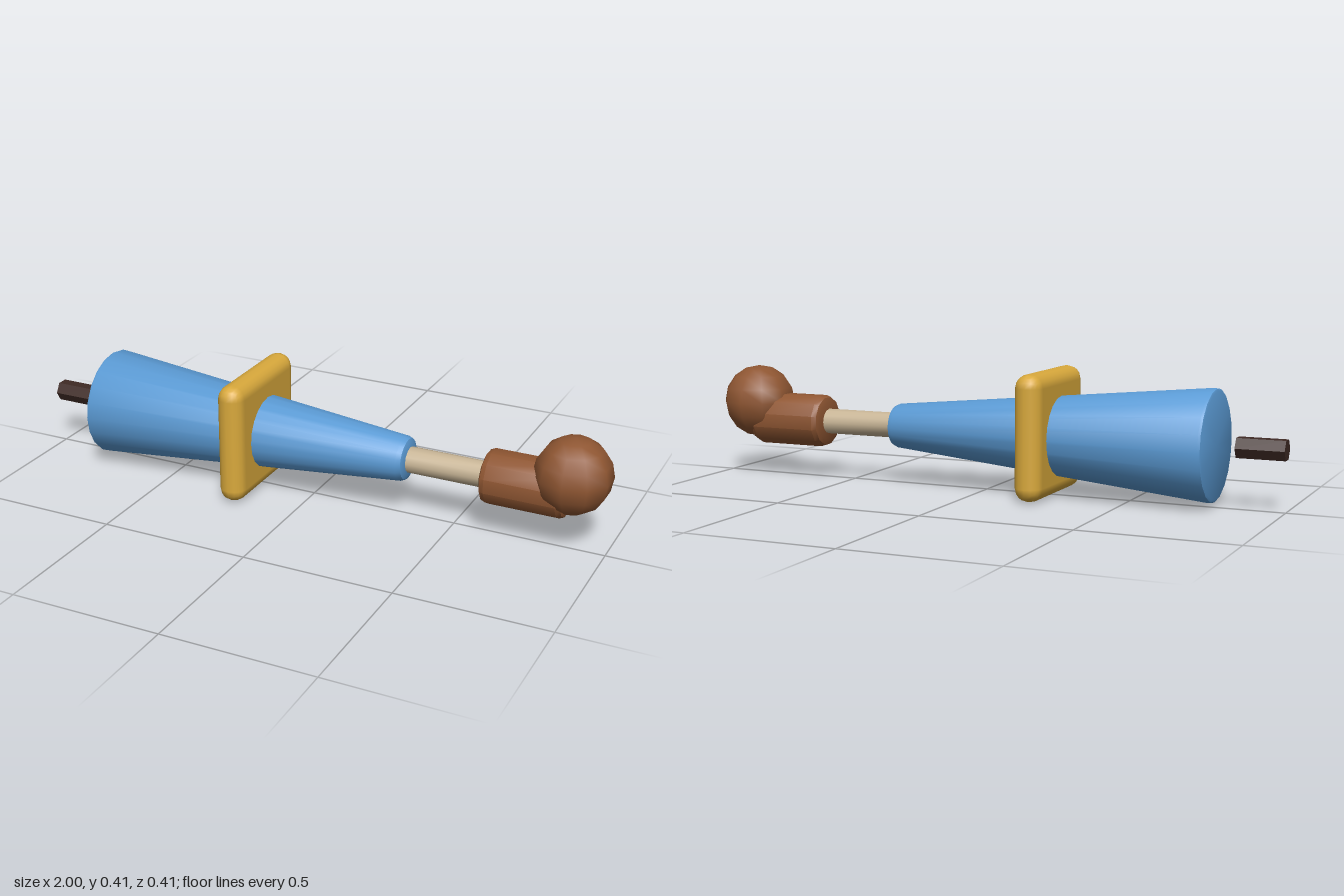
import * as THREE from 'three';
import { toCreasedNormals } from 'three/addons/utils/BufferGeometryUtils.js';
import { RoundedBoxGeometry } from 'three/addons/geometries/RoundedBoxGeometry.js';

const AXIS_Y = 0.194;

function material(name, color) {
  const m = new THREE.MeshStandardMaterial({ color });
  m.name = name;
  return m;
}

// Closed round bar along x from x0 (radius r0) to x1 (radius r1), with rounded rims
function bar(x0, x1, r0, r1, b0, b1, sides, turn = 0) {
  const pts = [new THREE.Vector2(0, x0)];
  const rim = (x, r, b, dir) => {
    if (b === 0) return [new THREE.Vector2(r, x)];
    return [0, 0.5, 1].map((t) => {
      const a = t * Math.PI / 2;
      return new THREE.Vector2(r - b + b * Math.sin(a), x + dir * b * (1 - Math.cos(a)));
    });
  };
  pts.push(...rim(x0, r0, b0, 1));
  pts.push(...rim(x1, r1, b1, -1).reverse());
  pts.push(new THREE.Vector2(0, x1));
  const g = new THREE.LatheGeometry(pts, sides);
  g.rotateY(turn);
  g.rotateZ(-Math.PI / 2);
  g.translate(0, AXIS_Y, 0);
  return toCreasedNormals(g, 0.6);
}

export function createModel() {
  const group = new THREE.Group();
  const blue = material('blue', 0x5b9bd5);
  const yellow = material('yellow', 0xd9a93c);
  const brown = material('brown', 0x8f5632);
  const tan = material('tan', 0xc8b596);
  const dark = material('dark brown', 0x3f2a25);

  const add = (name, geometry, mat) => {
    const mesh = new THREE.Mesh(geometry, mat);
    mesh.name = name;
    group.add(mesh);
    return mesh;
  };

  // Detached pin behind the wide end
  add('tailPin', bar(-1, -0.845, 0.036, 0.036, 0, 0, 6), dark);

  // Tapered body
  add('body', bar(-0.78, 0.342, 0.18, 0.075, 0.01, 0.022, 20), blue);

  // Square guard plate with fully rounded edges
  const guard = add('guard', new RoundedBoxGeometry(0.092, 0.408, 0.408, 2, 0.0455), yellow);
  guard.position.set(-0.218, 0.204, 0);

  // Neck rod between body and grip
  add('rod', bar(0.32, 0.62, 0.043, 0.043, 0, 0, 12), tan);

  // Grip, faceted with a flat underside
  add('grip', bar(0.6, 0.875, 0.09, 0.09, 0.022, 0.022, 12, Math.PI / 12), brown);

  // Knob sitting on the end of the grip
  const knob = add('knob', new THREE.SphereGeometry(0.125, 10, 8), brown);
  knob.rotation.y = Math.PI / 2;
  knob.position.set(0.881, 0.252, 0);

  return group;
}
